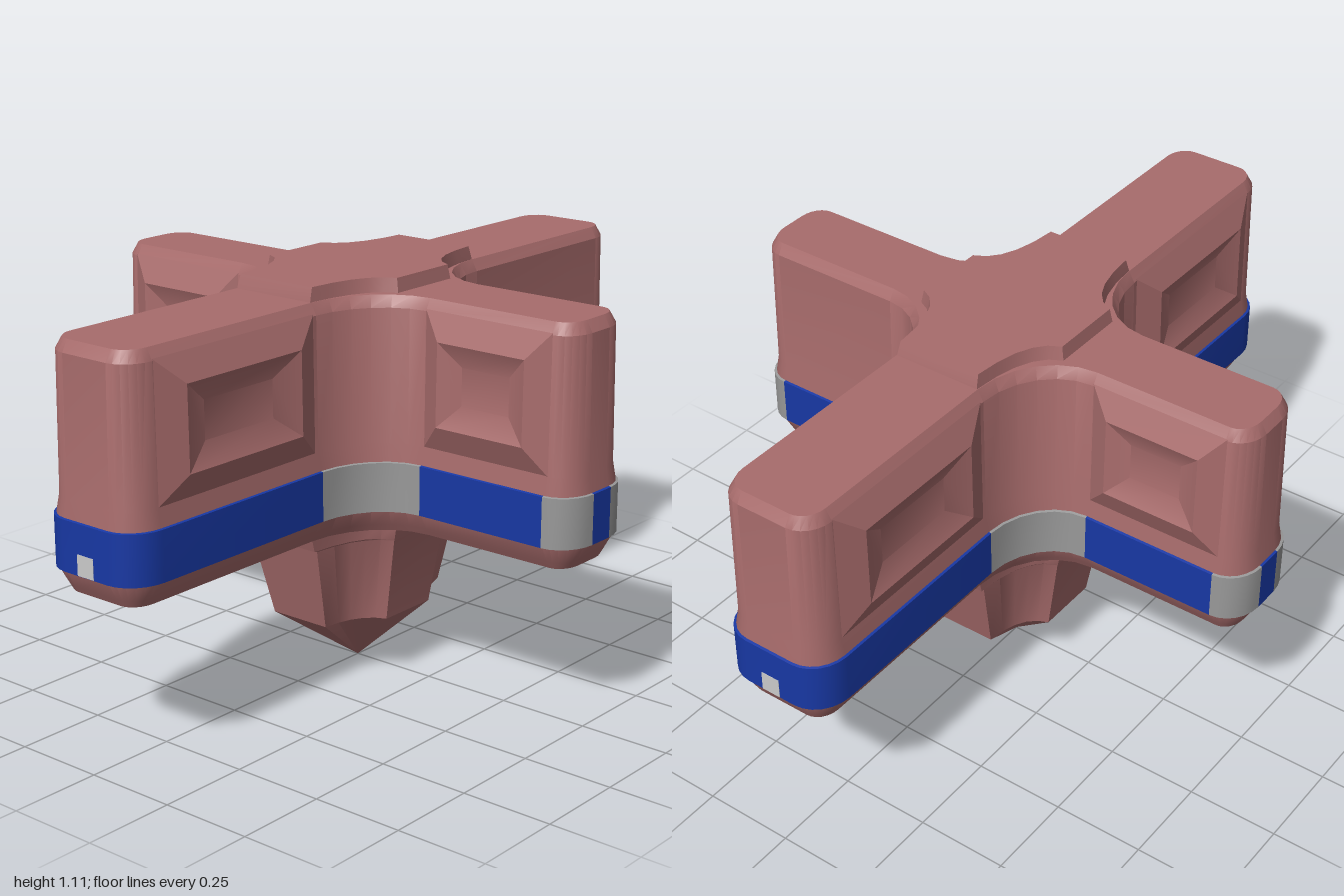
import * as THREE from 'three';
import { toCreasedNormals } from 'three/addons/utils/BufferGeometryUtils.js';

const mat = (color) => new THREE.MeshStandardMaterial({ color });
const hull = mat(0xa86c6c), blue = mat(0x1838a4), grey = mat(0x999999), white = mat(0xffffff);

// Surface through a stack of closed rings; keep(i) can select some of the sides
function loft(rings, keep = () => true) {
  const pos = [], n = rings[0].length;
  const tri = (...p) => {
    const [a, b, c] = p.map((q) => new THREE.Vector3(...q));
    if (b.clone().sub(a).cross(c.clone().sub(a)).length() > 1e-9) pos.push(...p.flat());
  };
  for (let l = 0; l < rings.length - 1; l++) {
    for (let i = 0; i < n; i++) {
      if (!keep(i)) continue;
      const j = (i + 1) % n, lo = rings[l], up = rings[l + 1];
      tri(lo[i], up[i], lo[j]);
      tri(lo[j], up[i], up[j]);
    }
  }
  const g = new THREE.BufferGeometry();
  g.setAttribute('position', new THREE.Float32BufferAttribute(pos, 3));
  return toCreasedNormals(g, 0.5);
}

function add(group, name, geometry, material) {
  const m = new THREE.Mesh(geometry, material);
  m.name = name;
  group.add(m);
  return m;
}

// Mirror a quarter outline (from +x round to +z) into a closed ring at height y
function fourfold(quarter, y) {
  const back = [...quarter].reverse();
  return [[1, 1, quarter], [-1, 1, back], [-1, -1, quarter], [1, -1, back]]
    .flatMap(([sx, sz, pts]) => pts.map(([x, z]) => [sx * x, y, sz * z]));
}

const point = (y, n) => Array.from({ length: n }, () => [0, y, 0]);
const WX = 0.162, WZ = 0.137, LX = 0.785, LZ = 1, SEG = 6, QUARTER = 3 * (SEG + 1);

// Cross outline with rounded arm ends and filleted inner corners, shrunk by d
function crossRing(y, d) {
  const q = [];
  const arc = (cx, cz, rx, rz, from, to) => {
    for (let i = 0; i <= SEG; i++) {
      const a = (from + ((to - from) * i) / SEG) * Math.PI / 2;
      q.push([cx + rx * Math.cos(a), cz + rz * Math.sin(a)]);
    }
  };
  arc(LX - 0.085, WZ - 0.1, 0.085 - d, 0.1 - d, 0, 1);
  arc(0.32, 0.33, 0.32 - WX + d, 0.33 - WZ + d, 3, 2);
  arc(WX - 0.09, LZ - 0.1, 0.09 - d, 0.1 - d, 0, 1);
  return fourfold(q, y);
}

// Hub section: flat ends joined by concave corners
function hubRing(y, x, z, endX, endZ) {
  const curve = new THREE.QuadraticBezierCurve(
    new THREE.Vector2(x, endZ), new THREE.Vector2(endX * 1.08, endZ * 1.25), new THREE.Vector2(endX, z));
  return fourfold(curve.getPoints(5).map((p) => [p.x, p.y]), y);
}

// Raised frame with a sunken centre on the side of an arm
function panelGeometry(alongX, sx, sz) {
  const [u0, u1] = alongX ? [0.32, 0.705] : [0.34, 0.9];
  const edge = alongX ? 0.06 : 0.08, half = alongX ? WZ : WX;
  const ring = (inU, inY, raise) => {
    const a = u0 + inU, b = u1 - inU, lo = 0.69 + inY, hi = 1.05 - inY;
    const pts = [[a, lo], [b, lo], [b, hi], [a, hi]].map(([u, y]) => {
      const w = half - 0.015 - 0.005 * (y - 0.69) / 0.36 + raise;
      return alongX ? [sx * u, y, sz * w] : [sx * w, y, sz * u];
    });
    return alongX !== sx * sz < 0 ? pts.reverse() : pts;
  };
  const floor = ring(edge * 2, 0.13, 0.004);
  const mid = [0, 1, 2].map((k) => floor.reduce((s, p) => s + p[k] / 4, 0));
  return loft([ring(0, 0, -0.001), ring(edge, 0.07, 0.03), floor, floor.map(() => mid)]);
}

export function createModel() {
  const group = new THREE.Group();
  group.name = 'crossShapedStation';

  // Main cross-shaped hull
  const levels = [[0.447, 0.04], [0.465, 0.03], [0.51, 0.006], [0.64, 0.006],
    [0.69, 0.015], [1.045, 0.02], [1.075, 0.037]];
  const n = QUARTER * 4;
  add(group, 'hull', loft([point(0.447, n), ...levels.map((l) => crossRing(...l)), point(1.075, n)]), hull);

  // Coloured band: grey in the inner corners and on the side arm corners
  const isGrey = (i) => {
    const k = Math.floor(i / QUARTER), j = i % QUARTER;
    const s = k % 2 ? QUARTER - 2 - j : j;
    return (s >= 0 && s < SEG) || (s > SEG && s < 2 * SEG + 1);
  };
  const band = [[0.508, 0.008], [0.51, 0], [0.642, 0], [0.644, 0.008]].map((l) => crossRing(...l));
  add(group, 'blueBand', loft(band, (i) => !isGrey(i)), blue);
  add(group, 'greyBandSections', loft(band, isGrey), grey);

  // Central raised hub on top
  const top = [[1.05, 0.228, 0.335, 0.125, 0.11], [1.08, 0.222, 0.33, 0.123, 0.107],
    [1.112, 0.216, 0.32, 0.12, 0.104]].map((r) => hubRing(...r));
  add(group, 'topHub', loft([...top, point(1.112, top[0].length)]), hull);

  // Tapered keel ending in a point
  const keel = [[0.175, 0.175, 0.24, 0.09, 0.09], [0.408, 0.213, 0.3, 0.114, 0.106],
    [0.412, 0.215, 0.312, 0.116, 0.107], [0.46, 0.225, 0.328, 0.12, 0.11]].map((r) => hubRing(...r));
  add(group, 'keel', loft([point(0, keel[0].length), ...keel]), hull);

  // Side panels in three of the four corners
  for (const [sx, sz] of [[1, 1], [-1, 1], [-1, -1]]) {
    add(group, 'sideArmPanel', panelGeometry(true, sx, sz), hull);
    add(group, 'longArmPanel', panelGeometry(false, sx, sz), hull);
  }

  // Small lights at the ends of the long arms
  for (const s of [1, -1]) {
    add(group, 'endLight', new THREE.BoxGeometry(0.054, 0.054, 0.02), white)
      .position.set(0, 0.538, s * (LZ - 0.009));
  }
  return group;
}
